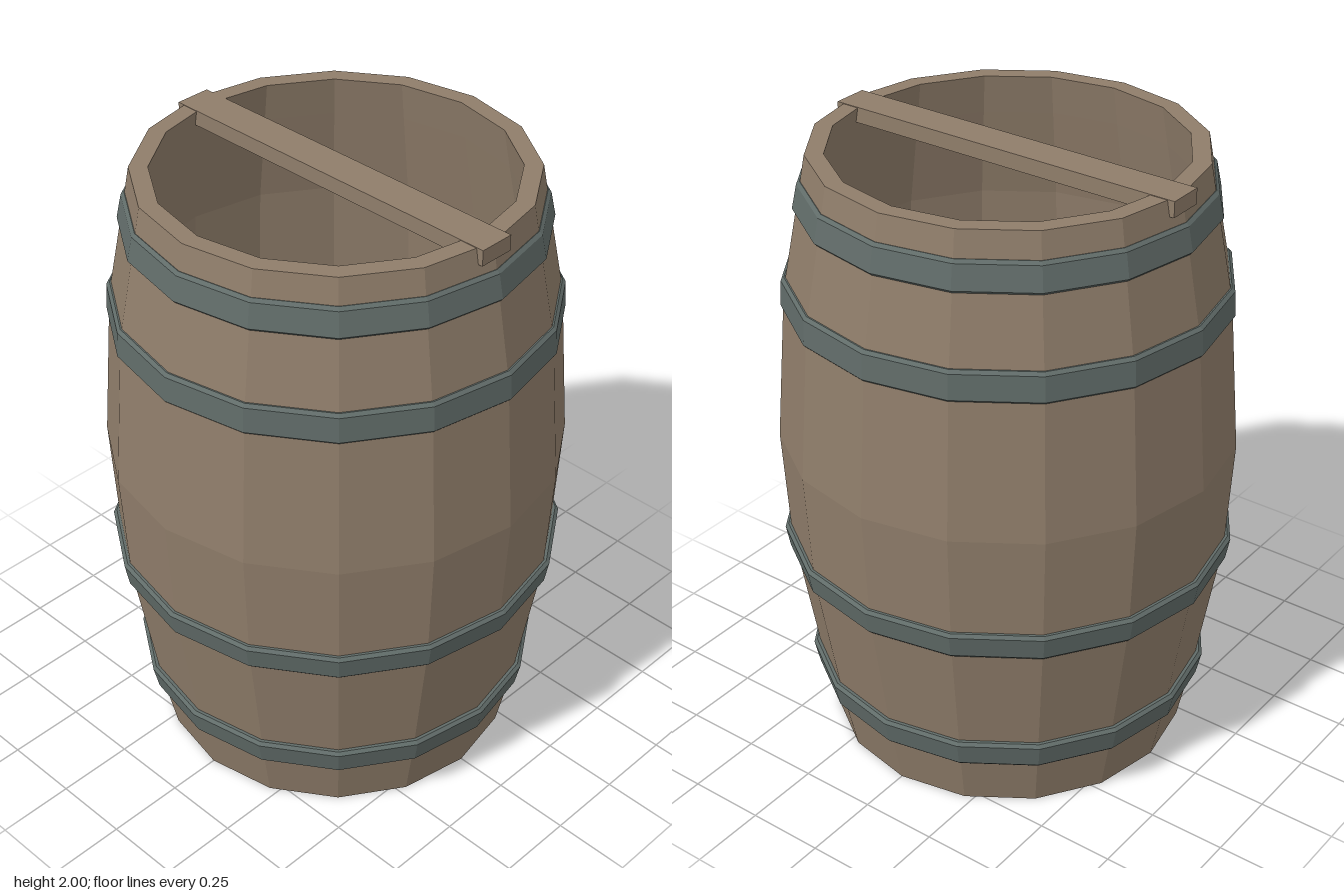
import * as THREE from 'three';

const SIDES = 16;

export function createModel() {
  const group = new THREE.Group();
  const wood = new THREE.MeshStandardMaterial({ color: 0x8f7d6a, flatShading: true });
  wood.name = 'brown wood';
  const iron = new THREE.MeshStandardMaterial({ color: 0x616c69, flatShading: true });
  iron.name = 'grey iron';

  const add = (name, geometry, material) => {
    const mesh = new THREE.Mesh(geometry, material);
    mesh.name = name;
    group.add(mesh);
    return mesh;
  };
  const lathe = (profile) =>
    new THREE.LatheGeometry(profile.map(([r, y]) => new THREE.Vector2(r, y)), SIDES);

  // Bulging staves with an open top, a hollow inside and a solid bottom
  const outer = [
    [0.578, 0], [0.62, 0.2], [0.7, 0.69], [0.72, 1.07],
    [0.68, 1.57], [0.622, 1.87], [0.598, 1.998],
  ];
  const wall = 0.057;
  const inner = outer.slice(1, -1).reverse().map(([r, y]) => [r - wall, y]);
  add('barrelBody', lathe([
    [0, 0], ...outer,
    [0.541, 1.998], ...inner,
    [0.541, 0.06], [0, 0.06],
  ]), wood);

  // Iron hoops: bottom height, bottom radius, top height, top radius
  const hoops = [
    [0.175, 0.635, 0.272, 0.652],
    [0.645, 0.708, 0.737, 0.721],
    [1.51, 0.692, 1.61, 0.687],
    [1.822, 0.641, 1.917, 0.625],
  ];
  const bevel = 0.01;
  hoops.forEach(([y0, r0, y1, r1], i) => {
    add(`hoop${i + 1}`, lathe([
      [r0 - 0.04, y0], [r0 - bevel, y0], [r0, y0 + bevel],
      [r1, y1 - bevel], [r1 - bevel, y1], [r1 - 0.04, y1],
    ]), iron);
  });

  // Flat bar let into the rim, its ends showing outside
  const bar = add('crossBar', new THREE.BoxGeometry(1.22, 0.05, 0.116), wood);
  bar.position.y = 1.975;

  return group;
}
